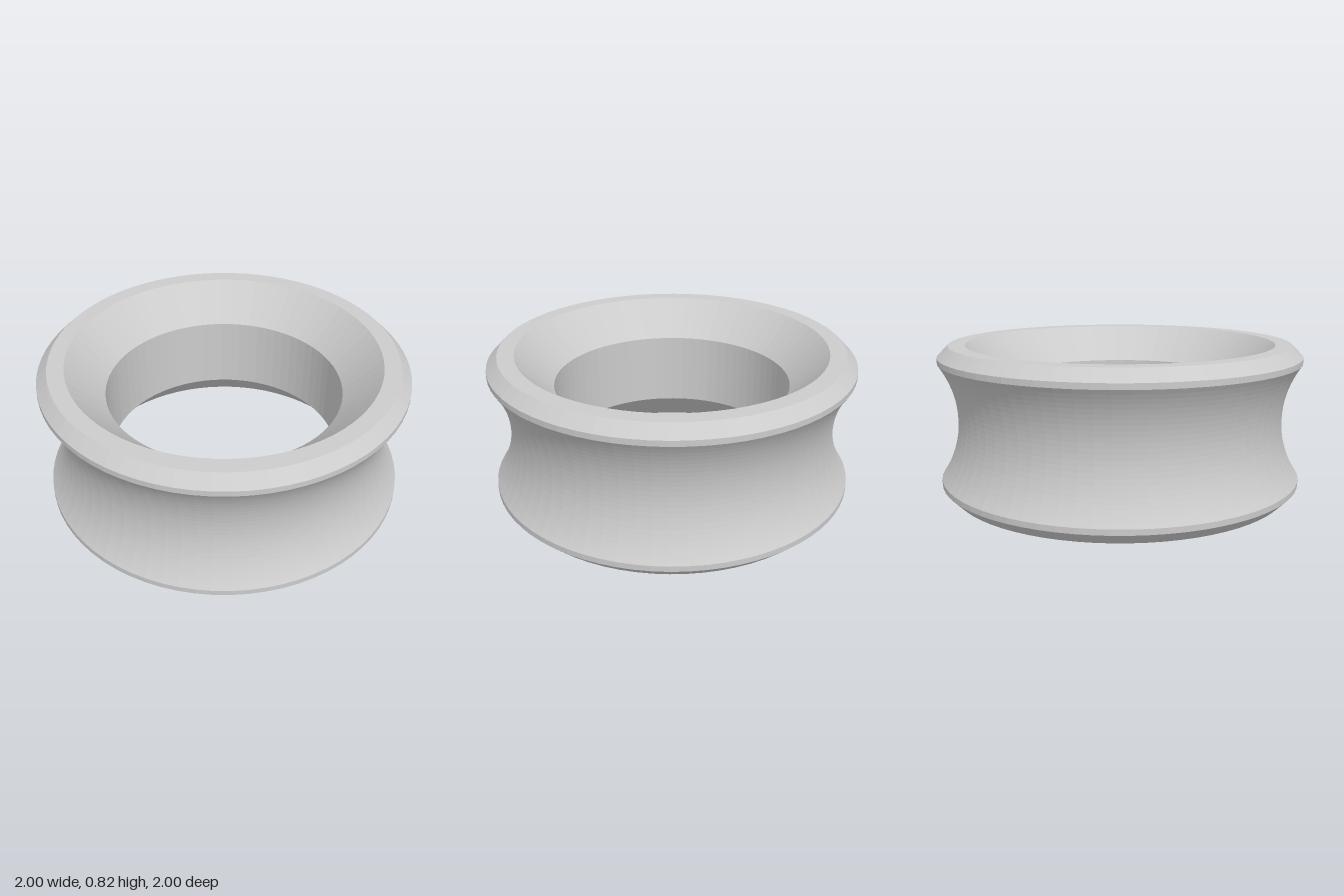
import * as THREE from 'three';

export function createModel() {
  const group = new THREE.Group();
  const height = 0.82, mid = height / 2;
  const v = (r, y) => new THREE.Vector2(r, y);

  // Concave groove: circular arc from the lower to the upper rim
  const waist = 0.9, halfChord = 0.32, sag = 0.1;
  const radius = (sag * sag + halfChord * halfChord) / (2 * sag);
  const sweep = Math.asin(halfChord / radius);
  const groove = [];
  const steps = 24;
  for (let i = 0; i <= steps; i++) {
    const a = sweep * (2 * i / steps - 1);
    groove.push(v(waist + radius * (1 - Math.cos(a)), mid + radius * Math.sin(a)));
  }

  // Closed ring section: outside going up, inside coming down
  const profile = [
    v(0.94, 0), v(1, 0.06),
    ...groove,
    v(1, height - 0.06), v(0.94, height),
    v(0.85, height), v(0.65, height - 0.2),
    v(0.65, 0.2), v(0.85, 0),
    v(0.94, 0),
  ];

  const material = new THREE.MeshStandardMaterial({ color: 0xcccccc, flatShading: true });
  const ring = new THREE.Mesh(new THREE.LatheGeometry(profile, 72), material);
  ring.name = 'groovedRing';
  group.add(ring);
  return group;
}
